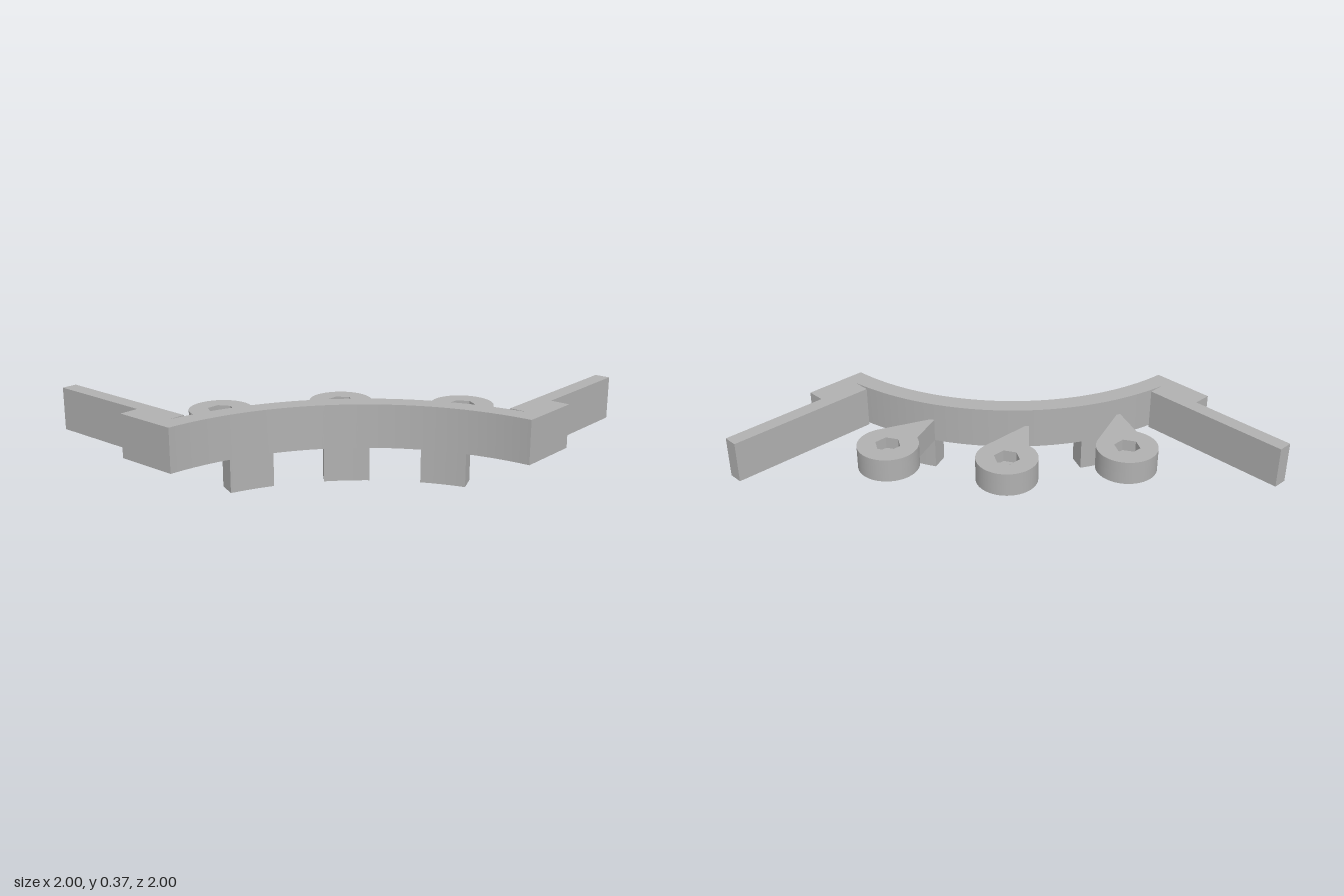
import * as THREE from 'three';
import { toCreasedNormals } from 'three/addons/utils/BufferGeometryUtils.js';

// Plan coordinates: shape x = model x, shape y = -z. The arc is centred on (C, C).
const C = -1.068, R_IN = 1.185, R_OUT = 1.283;
const BOSS_AT = 1.58, BOSS_R = 0.153, HALF = 0.106;
const Y_BAR = 0.16, Y_TOP = 0.37, Y_ARM = 0.28, Y_POCKET = 0.22;

export function createModel() {
  const model = new THREE.Group();
  model.name = 'curvedBracket';
  const grey = new THREE.MeshStandardMaterial({ color: 0xb0b0b0 });
  grey.name = 'grey';

  // Extrudes a plan shape between two heights
  function slab(name, shape, y0, y1, parent = model) {
    let geo = new THREE.ExtrudeGeometry(shape, { depth: y1 - y0, bevelEnabled: false, curveSegments: 64 });
    geo.rotateX(-Math.PI / 2);
    geo.translate(0, y0, 0);
    geo = toCreasedNormals(geo, 0.4);
    const mesh = new THREE.Mesh(geo, grey);
    mesh.name = name;
    parent.add(mesh);
  }

  // Curved bar with a stepped mounting flange at each end, mirrored on the diagonal
  const flange = [[0.115, -1], [0.44, -1], [0.44, -0.905], [1, -0.905], [1, -0.83], [0.208, -0.83], [0.208, -0.91]];
  const outerStart = Math.asin((-0.91 - C) / R_OUT);
  const innerStart = Math.asin((-1 - C) / R_IN);
  const bar = new THREE.Shape();
  flange.forEach(([x, y], i) => (i ? bar.lineTo(x, y) : bar.moveTo(x, y)));
  bar.absarc(C, C, R_OUT, outerStart, Math.PI / 2 - outerStart, false);
  [...flange].reverse().forEach(([x, y]) => bar.lineTo(y, x));
  bar.absarc(C, C, R_IN, Math.PI / 2 - innerStart, innerStart, true);
  slab('curvedBarWithFlanges', bar, Y_BAR, Y_TOP);

  // Three radial arms, each with a screw boss and a foot under the bar
  [23.2, 45, 66.8].forEach((deg, i) => {
    const a = THREE.MathUtils.degToRad(deg);
    const arm = new THREE.Group();
    arm.name = 'arm' + (i + 1);
    model.add(arm);
    const at = (u, v) => [C + u * Math.cos(a) - v * Math.sin(a), C + u * Math.sin(a) + v * Math.cos(a)];
    const [bx, by] = at(BOSS_AT, 0);

    const outline = () => {
      const s = new THREE.Shape();
      const b = Math.PI - Math.asin(HALF / BOSS_R);
      s.moveTo(...at(1.26, -HALF));
      s.absarc(bx, by, BOSS_R, a - b, a + b, false);
      s.lineTo(...at(1.26, HALF));
      s.closePath();
      return s;
    };

    // Lower layer with the round screw hole
    const lower = outline();
    lower.holes.push(new THREE.Path().absarc(bx, by, 0.037, 0, Math.PI * 2, true));
    slab('armBase', lower, Y_BAR, Y_POCKET, arm);

    // Upper layer with the hexagonal nut pocket
    const upper = outline();
    const hex = [];
    for (let k = 0; k < 6; k++) {
      const t = -k * Math.PI / 3;
      hex.push(new THREE.Vector2(bx + 0.065 * Math.cos(t), by + 0.065 * Math.sin(t)));
    }
    upper.holes.push(new THREE.Path(hex));
    slab('armNutPocket', upper, Y_POCKET, Y_ARM, arm);

    // Foot following the curve of the bar
    const o = Math.asin(HALF / R_OUT), n = Math.asin(HALF / R_IN);
    const foot = new THREE.Shape();
    foot.absarc(C, C, R_OUT, a - o, a + o, false);
    foot.absarc(C, C, R_IN, a + n, a - n, true);
    foot.closePath();
    slab('foot', foot, 0, Y_BAR, arm);
  });

  return model;
}
